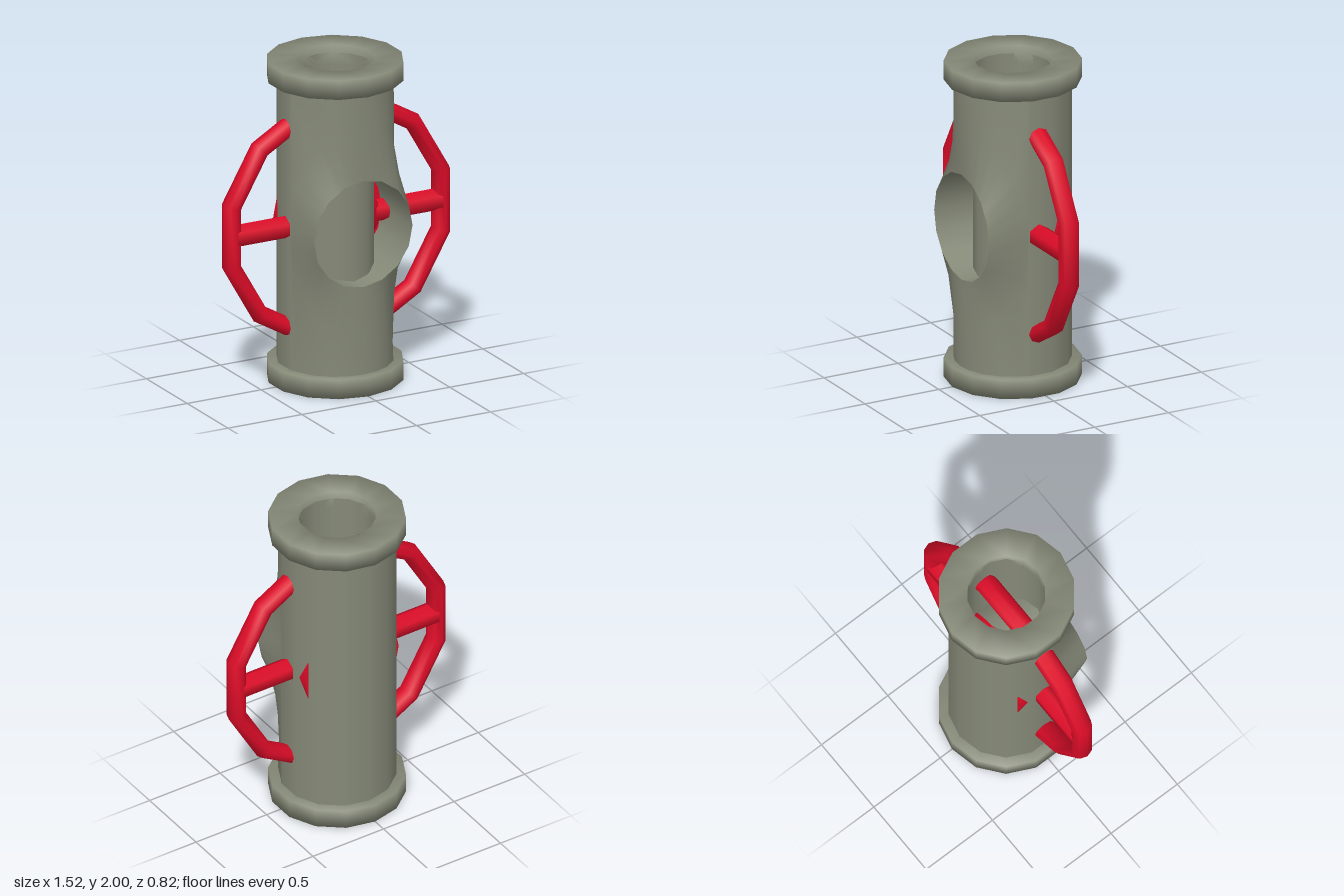
import * as THREE from 'three';

const GREY = 0x868a78, RED = 0xdd0c28;
const BODY_R = 0.352, BORE_R = 0.235, PORT_R = 0.333, PORT_Z = 0.347, WHEEL_Z = 0.012;
const SIDES = 14, HALF = (3 / SIDES) * Math.PI * 2; // angle where the front panel meets the back shell

function mesh(name, geometry, color, parent) {
  const m = new THREE.Mesh(geometry, new THREE.MeshStandardMaterial({ color, side: THREE.DoubleSide }));
  m.name = name;
  parent.add(m);
  return m;
}

// Front panel: rings running from the round port out to the straight edges of the shell
function frontPanel() {
  const n = 32, pos = [], idx = [];
  const onShell = (u, v, h) => [BODY_R * Math.sin(u * HALF), 1 + v * h, BODY_R * Math.cos(u * HALF)];
  const rings = [
    (c, s, k) => [PORT_R * c * k, 1 + PORT_R * s * k, PORT_Z],
    (c, s) => onShell(c, s, 0.66),
    (c, s) => { const m = Math.max(Math.abs(c), Math.abs(s)); return onShell(c / m, s / m, 0.92); },
  ];
  rings.forEach((ring, r) => {
    for (let j = 0; j < n; j++) {
      const a = (j / n) * Math.PI * 2;
      const k = j % 2 ? Math.cos(Math.PI / 16) : 1; // keeps the port a 16-sided outline
      pos.push(...ring(Math.cos(a), Math.sin(a), k));
      if (r === 0) continue;
      const o = r * n, i = o - n, q = (j + 1) % n;
      idx.push(i + j, o + j, o + q, i + j, o + q, i + q);
    }
  });
  const g = new THREE.BufferGeometry();
  g.setAttribute('position', new THREE.Float32BufferAttribute(pos, 3));
  g.setIndex(idx);
  g.computeVertexNormals();
  return g;
}

// Cylinder lying along z between two depths
function alongZ(rFront, rBack, z0, z1, sides, open, start = 0) {
  return new THREE.CylinderGeometry(rFront, rBack, z1 - z0, sides, 1, open, start)
    .rotateX(Math.PI / 2).translate(0, 1, (z0 + z1) / 2);
}

export function createModel() {
  const model = new THREE.Group();
  model.name = 'valve';

  // Pipe body: back shell, front panel with port, bore
  const body = new THREE.Group();
  body.name = 'pipeBody';
  model.add(body);
  mesh('backShell', new THREE.CylinderGeometry(BODY_R, BODY_R, 1.84, 8, 1, true, HALF, Math.PI * 2 - 2 * HALF)
    .translate(0, 1, 0), GREY, body);
  mesh('frontPanel', frontPanel(), GREY, body);
  mesh('portLining', alongZ(PORT_R, PORT_R, -0.04, PORT_Z, 16, true), GREY, body);
  mesh('bore', new THREE.CylinderGeometry(BORE_R, BORE_R, 1.9, SIDES, 1, true).translate(0, 1, 0), GREY, body);

  // End flanges
  const profile = [[BORE_R, 0], [0.41, 0], [0.41, 0.12], [BORE_R, 0.12], [BORE_R, 0]]
    .map(([x, y]) => new THREE.Vector2(x, y));
  for (const [name, y] of [['bottomFlange', 0], ['topFlange', 1.88]]) {
    mesh(name, new THREE.LatheGeometry(profile, SIDES), GREY, model).position.y = y;
  }

  // Hand wheel: rim, crossbar and hub
  const wheel = new THREE.Group();
  wheel.name = 'handWheel';
  model.add(wheel);
  mesh('wheelRim', new THREE.TorusGeometry(0.7315, 0.0555, 8, 12).rotateZ(Math.PI / 12)
    .scale(1, 1, 1.22).translate(0, 1, WHEEL_Z), RED, wheel);
  mesh('crossbar', new THREE.CylinderGeometry(0.07, 0.07, 1.4, 6, 1, false, Math.PI / 2)
    .rotateZ(Math.PI / 2).translate(0, 1, WHEEL_Z), RED, wheel);
  mesh('hubDisc', alongZ(PORT_R, PORT_R, -0.157, -0.03, 16, false), RED, wheel);
  mesh('hubNose', alongZ(0.265, 0.265, -0.03, 0.06, 12, false, Math.PI / 12), RED, wheel);
  mesh('hubTip', alongZ(0.2, 0.265, 0.06, 0.113, 12, false, Math.PI / 12), RED, wheel);

  return model;
}
